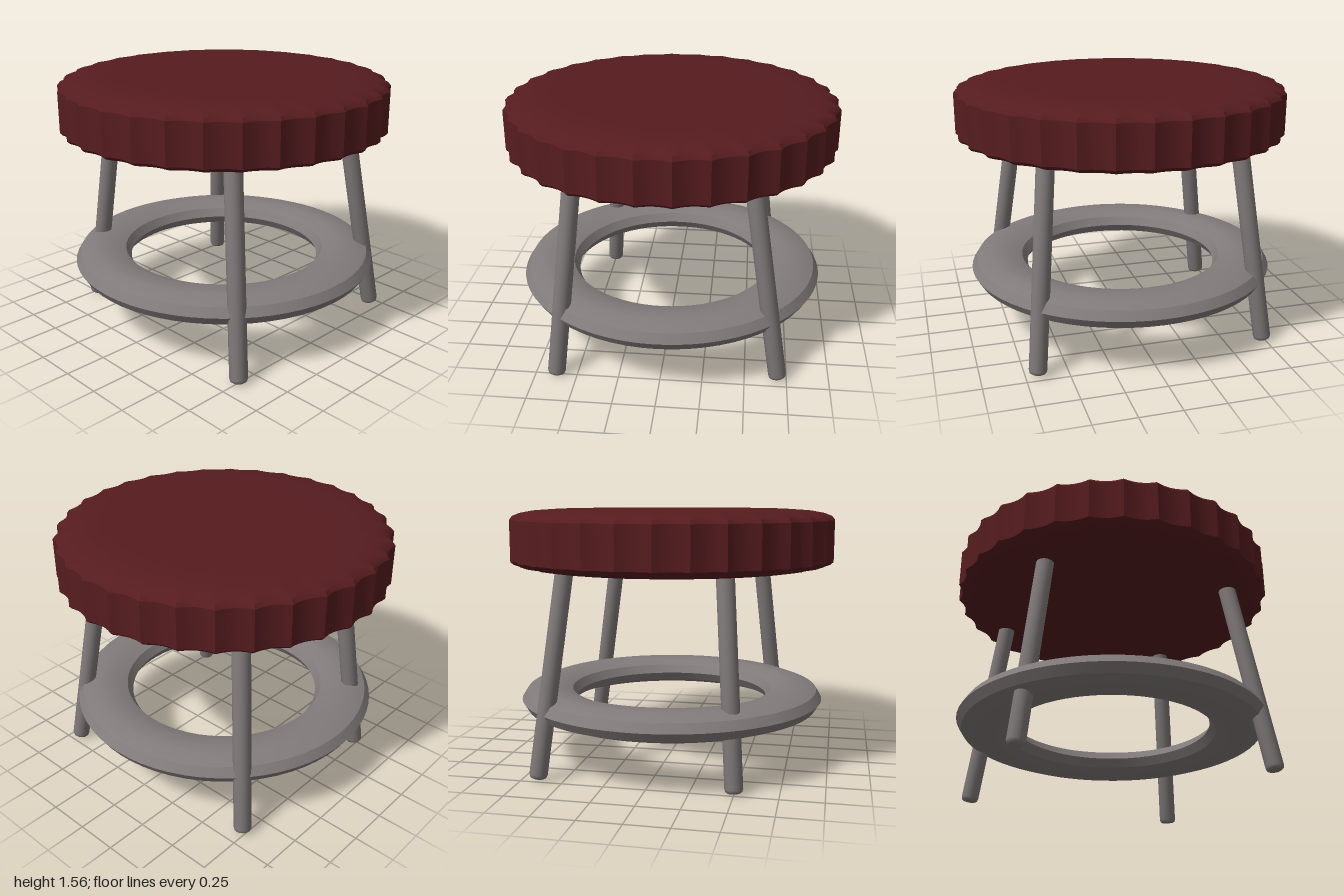
import * as THREE from 'three';
import { toCreasedNormals } from 'three/addons/utils/BufferGeometryUtils.js';

const v2 = (x, y) => new THREE.Vector2(x, y);

// Round cushion whose rim is gathered into shallow concave pleats
function createCushion(material) {
  const pleats = 32, depth = 0.026;
  const profile = [
    [0, 1.2], [0.4, 1.2], [0.72, 1.2], [0.86, 1.208], [0.94, 1.222], [0.985, 1.238], [1.003, 1.255],
    [1.003, 1.5], [0.985, 1.522], [0.94, 1.54], [0.86, 1.555], [0.72, 1.564], [0.4, 1.565], [0, 1.565],
  ].map(([x, y]) => v2(x, y));
  const geometry = new THREE.LatheGeometry(profile, pleats * 6);
  const pos = geometry.attributes.position;
  for (let i = 0; i < pos.count; i++) {
    const x = pos.getX(i), z = pos.getZ(i);
    const u = Math.atan2(x, z) / (2 * Math.PI) * pleats;
    const d = u - Math.round(u);
    // Pleats fade out toward the middle of the top and bottom
    const fade = THREE.MathUtils.smoothstep(Math.hypot(x, z), 0.8, 1);
    const k = 1 - depth * fade * (1 - 4 * d * d);
    pos.setX(i, x * k);
    pos.setZ(i, z * k);
  }
  const mesh = new THREE.Mesh(toCreasedNormals(geometry, 0.5), material);
  mesh.name = 'cushion';
  return mesh;
}

// Flattened ring that ties the legs together
function createFootRing(material) {
  const geometry = new THREE.TorusGeometry(0.775, 0.175, 10, 64);
  geometry.rotateX(Math.PI / 2);
  geometry.scale(1, 0.515, 1);
  const mesh = new THREE.Mesh(toCreasedNormals(geometry, 0.5), material);
  mesh.name = 'footRing';
  mesh.position.y = 0.39;
  return mesh;
}

// Splayed round leg with a bevelled foot
function createLeg(name, foot, top, material) {
  const a = new THREE.Vector3(...foot), b = new THREE.Vector3(...top);
  const length = a.distanceTo(b), r = 0.053;
  const profile = [v2(0, 0), v2(0.036, 0), v2(0.048, 0.008), v2(r, 0.024), v2(r, length), v2(0, length)];
  const geometry = toCreasedNormals(new THREE.LatheGeometry(profile, 24), 0.8);
  const mesh = new THREE.Mesh(geometry, material);
  mesh.name = name;
  mesh.position.copy(a);
  mesh.quaternion.setFromUnitVectors(new THREE.Vector3(0, 1, 0), b.sub(a).normalize());
  return mesh;
}

export function createModel() {
  const group = new THREE.Group();
  group.name = 'stool';
  const fabric = new THREE.MeshStandardMaterial({ color: 0x561c1f });
  const metal = new THREE.MeshStandardMaterial({ color: 0x827b7b });

  group.add(createCushion(fabric), createFootRing(metal));

  // Legs: foot and top positions, slightly uneven
  const legs = [
    ['frontLeftLeg', [0.697, 0.018, 0.68], [0.505, 1.23, 0.565]],
    ['frontRightLeg', [-0.625, 0.008, 0.75], [-0.505, 1.23, 0.58]],
    ['backLeftLeg', [0.648, 0.018, -0.728], [0.51, 1.23, -0.58]],
    ['backRightLeg', [-0.5, 0.012, -0.725], [-0.418, 1.23, -0.58]],
  ];
  for (const [name, foot, top] of legs) group.add(createLeg(name, foot, top, metal));
  return group;
}
